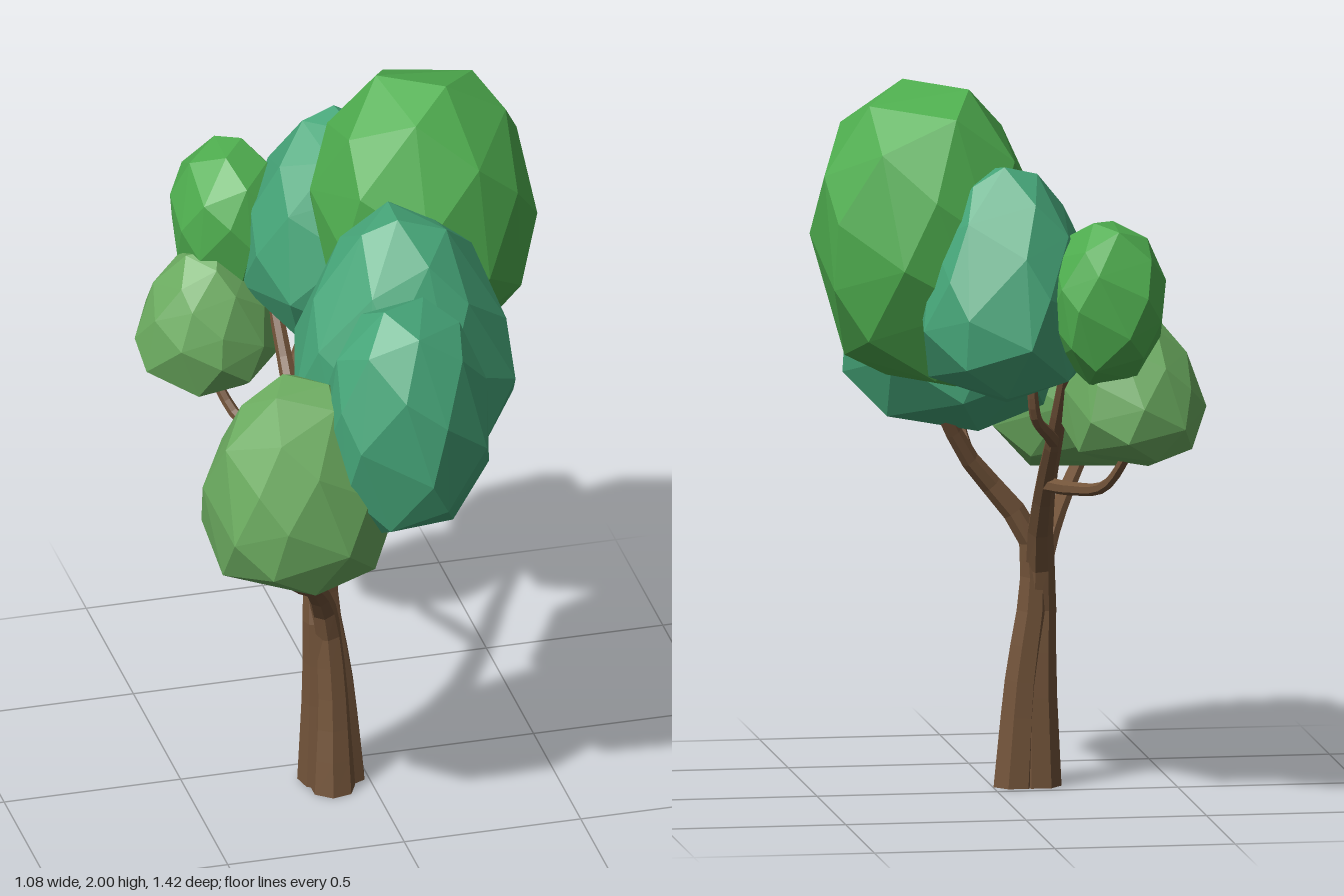
import * as THREE from 'three';
import { ConvexGeometry } from 'three/addons/geometries/ConvexGeometry.js';

const material = (color) => new THREE.MeshStandardMaterial({ color, flatShading: true });

function seeded(seed) {
  let s = seed * 7919 + 17;
  return () => (s = (s * 16807) % 2147483647) / 2147483647;
}

// Faceted leaf clump: centre, half sizes, how much it narrows upwards, how full its underside is
function clump(center, size, narrowing, fullness, seed) {
  const rnd = seeded(seed);
  const count = 36, points = [];
  for (let i = 0; i < count; i++) {
    const y = 1 - (2 * (i + 0.5)) / count + (rnd() - 0.5) * 0.06;
    const angle = i * 2.39996 + seed + (rnd() - 0.5) * 0.35;
    const power = y < 0 ? fullness : 2.1;
    const r = Math.sqrt(Math.max(0, 1 - Math.abs(y) ** power)) * (1 - narrowing * y);
    points.push(new THREE.Vector3(Math.cos(angle) * r, y, Math.sin(angle) * r));
  }
  const geo = new ConvexGeometry(points);
  geo.center();
  geo.computeBoundingBox();
  const half = geo.boundingBox.max;
  geo.scale(size[0] / half.x, size[1] / half.y, size[2] / half.z);
  geo.translate(...center);
  geo.computeVertexNormals();
  return geo;
}

// Tapered limb along a curve; the first and last rings collapse into flat caps
function limb(points, radii, sides, rooted) {
  const path = new THREE.CatmullRomCurve3(points.map((p) => new THREE.Vector3(...p)));
  const n = 14;
  const geo = new THREE.TubeGeometry(path, n, 1, sides, false);
  const pos = geo.attributes.position;
  const v = new THREE.Vector3();
  for (let i = 0; i <= n; i++) {
    const t = THREE.MathUtils.clamp((i - 1) / (n - 2), 0, 1);
    const from = path.getPointAt(i / n), to = path.getPointAt(t);
    const k = t * (radii.length - 1), a = Math.min(Math.floor(k), radii.length - 2);
    const r = i === 0 || i === n ? 0 : THREE.MathUtils.lerp(radii[a], radii[a + 1], k - a);
    for (let j = 0; j <= sides; j++) {
      const index = i * (sides + 1) + j;
      v.fromBufferAttribute(pos, index).sub(from).multiplyScalar(r).add(to);
      if (rooted && i < 2) v.y = 0;
      pos.setXYZ(index, v.x, v.y, v.z);
    }
  }
  geo.computeVertexNormals();
  return geo;
}

export function createModel() {
  const tree = new THREE.Group();
  const add = (name, geo, mat) => {
    const mesh = new THREE.Mesh(geo, mat);
    mesh.name = name;
    tree.add(mesh);
  };
  const bark = material(0x73543a);
  const green = material(0x4fae4f);
  const teal = material(0x46a679);
  const olive = material(0x6cac60);

  // Three intertwined stems that form the trunk and spread into main branches
  const stem = [0.064, 0.05, 0.042, 0.03, 0.023, 0.018];
  add('frontStem', limb([[-0.11, 0, 0.152], [-0.105, 0.3, 0.12], [-0.122, 0.52, 0.115],
    [-0.175, 0.66, 0.22], [-0.25, 0.765, 0.38], [-0.33, 0.87, 0.52]], stem, 7, true), bark);
  add('middleStem', limb([[-0.064, 0, 0.092], [-0.085, 0.3, 0.088], [-0.115, 0.55, 0.08],
    [-0.1, 0.7, 0.07], [-0.01, 0.82, 0.07], [0.08, 0.93, 0.045], [0.16, 1.08, 0]],
  [0.064, 0.055, 0.048, 0.036, 0.028, 0.022], 7, true), bark);
  add('backStem', limb([[-0.128, 0, 0.092], [-0.125, 0.3, 0.09], [-0.132, 0.55, 0.085],
    [-0.12, 0.7, 0.02], [-0.115, 0.86, -0.11], [-0.115, 1.02, -0.27], [-0.13, 1.3, -0.46]],
  [0.064, 0.053, 0.042, 0.03, 0.023, 0.018], 7, true), bark);

  // Side twigs
  const twig = [0.022, 0.017, 0.013];
  add('frontTwig', limb([[-0.03, 0.8, 0.07], [0.015, 0.86, 0.18], [0.045, 0.93, 0.3],
    [0.06, 1.08, 0.37]], twig, 6), bark);
  add('lowBackTwig', limb([[-0.115, 0.87, -0.13], [-0.17, 0.875, -0.25], [-0.24, 0.9, -0.37],
    [-0.3, 1.02, -0.46]], twig, 6), bark);
  add('highBackTwig', limb([[-0.115, 1.01, -0.26], [-0.08, 1.05, -0.36], [-0.04, 1.1, -0.42],
    [-0.02, 1.25, -0.46]], twig, 6), bark);

  // Leaf clumps
  add('crownClump', clump([0.23, 1.58, -0.19], [0.305, 0.42, 0.29], 0.02, 2.2, 1), green);
  add('middleClump', clump([0.095, 1.38, 0.12], [0.315, 0.38, 0.29], 0.3, 2.8, 2), teal);
  add('frontClump', clump([0.005, 1.325, 0.49], [0.235, 0.345, 0.22], 0.06, 2.3, 3), teal);
  add('lowFrontClump', clump([-0.28, 1.14, 0.43], [0.26, 0.31, 0.23], 0.26, 2.8, 4), olive);
  add('backClump', clump([0.03, 1.47, -0.39], [0.25, 0.33, 0.26], 0.28, 3, 5), teal);
  add('highBackClump', clump([-0.215, 1.43, -0.535], [0.16, 0.23, 0.175], 0, 2.1, 6), green);
  add('lowBackClump', clump([-0.31, 1.18, -0.45], [0.195, 0.215, 0.18], 0.28, 2.8, 7), olive);
  return tree;
}
